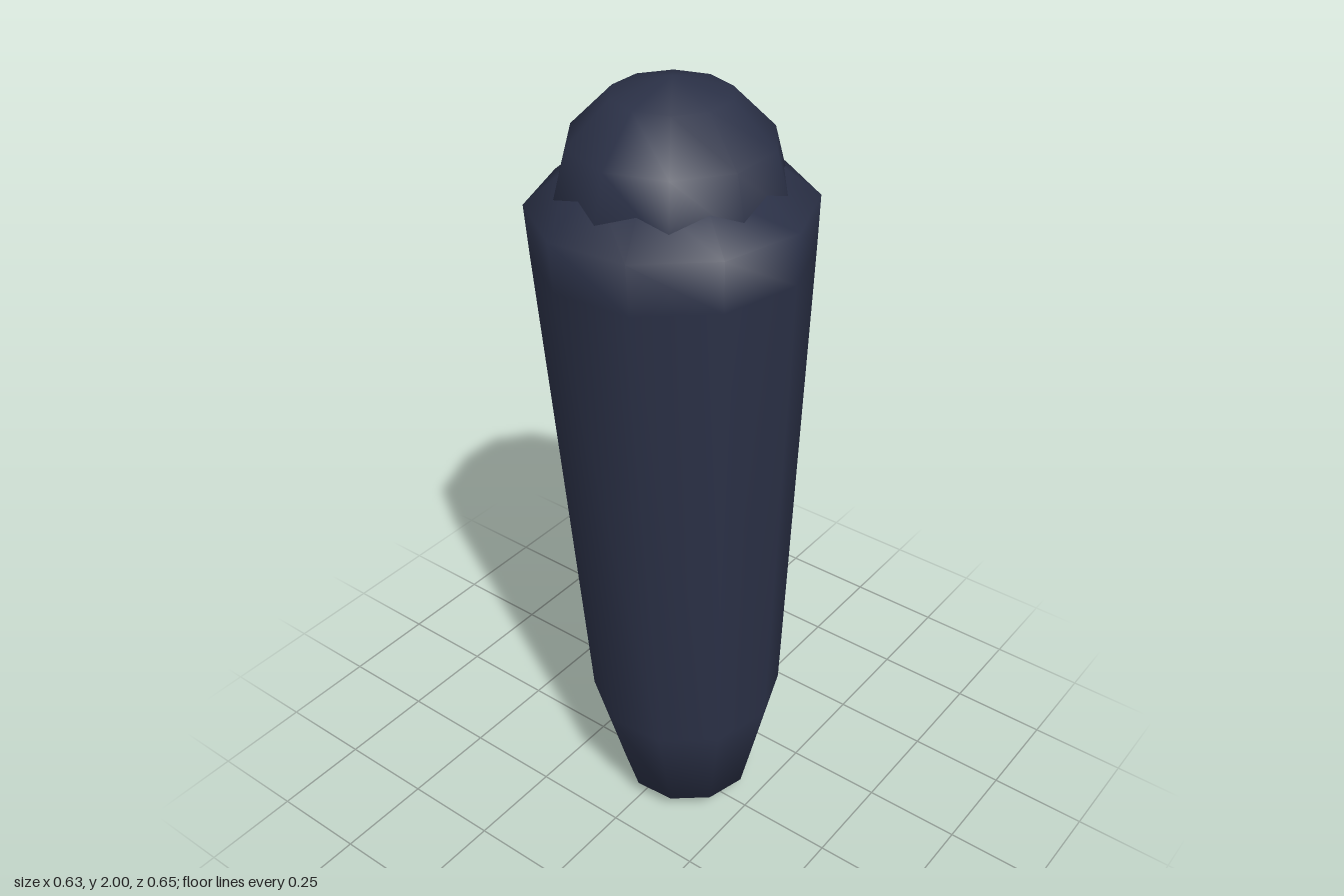
import * as THREE from 'three';

export function createModel() {
  const group = new THREE.Group();
  const material = new THREE.MeshStandardMaterial({ color: 0x2b3147 });

  // Tapered ten-sided shaft with a blunt tip and a sloped shoulder (radius, height)
  const profile = [
    [0, 0.005], [0.172, 0.053], [0.246, 0.336], [0.319, 1.6],
    [0.325, 1.722], [0.2, 1.822], [0, 1.84],
  ].map(([r, y]) => new THREE.Vector2(r, y));
  const shaft = new THREE.Mesh(
    new THREE.LatheGeometry(profile, 10, THREE.MathUtils.degToRad(2.6)), material);
  shaft.name = 'shaft';
  // Leans slightly, so that the tip sits a little forward and to the left
  shaft.position.set(0.0215, 0, 0.043);
  shaft.rotation.set(-0.025, 0, 0.0126);
  group.add(shaft);

  // Round cap sunk into the shoulder
  const cap = new THREE.Mesh(new THREE.SphereGeometry(0.27, 10, 6), material);
  cap.name = 'cap';
  cap.position.y = 1.73;
  group.add(cap);

  return group;
}
